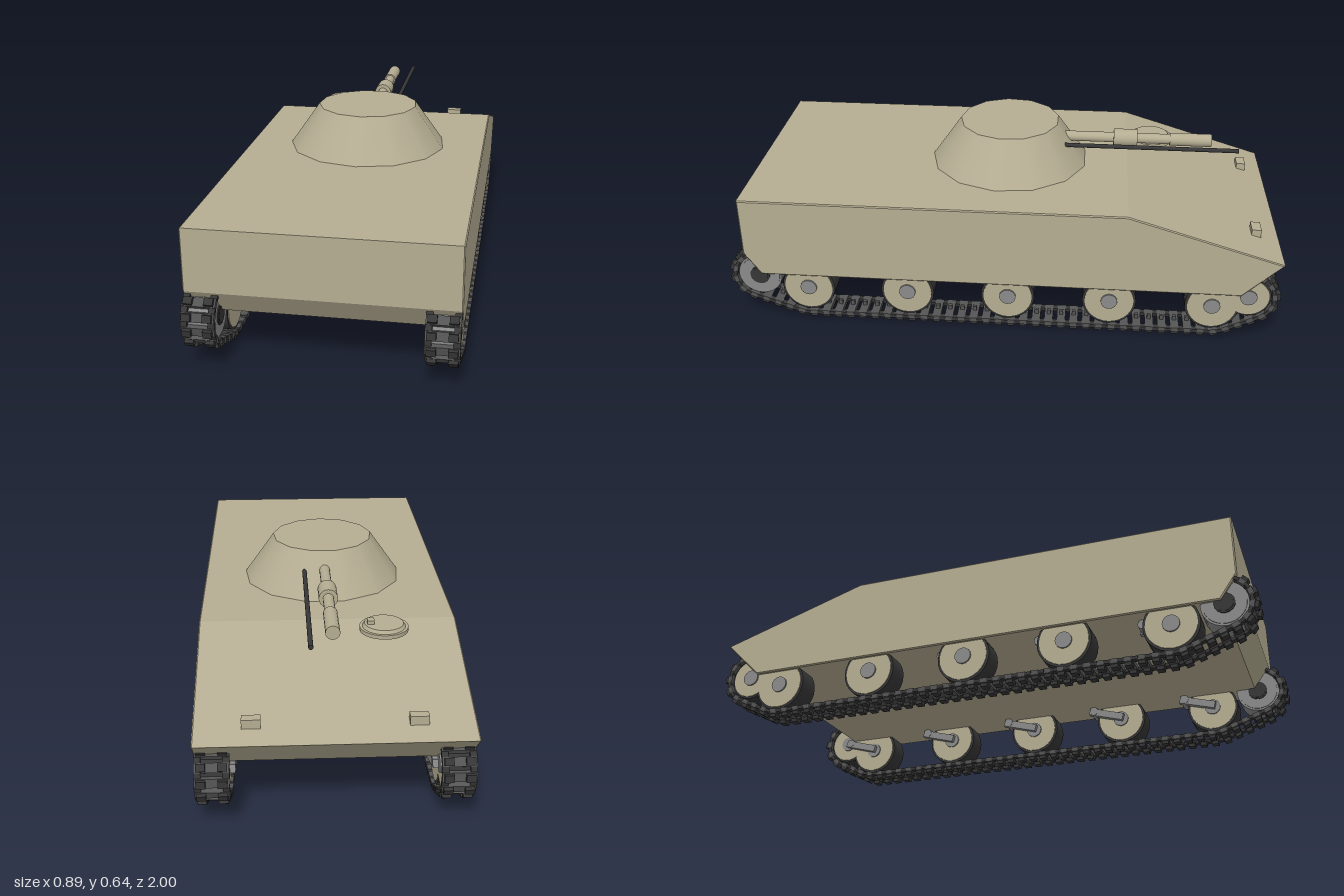
import * as THREE from 'three';
import { mergeGeometries } from 'three/addons/utils/BufferGeometryUtils.js';

const mat = (color) => new THREE.MeshStandardMaterial({ color });
const tan = mat(0xb5ad92), grey = mat(0x8a8a8a), linkGrey = mat(0x555555), dark = mat(0x363636);

function add(parent, name, geometry, material, x = 0, y = 0, z = 0) {
  const mesh = new THREE.Mesh(geometry, material);
  mesh.name = name;
  mesh.position.set(x, y, z);
  parent.add(mesh);
  return mesh;
}
const box = (w, h, d) => new THREE.BoxGeometry(w, h, d);
// Cylinders lying along x (axles) and along z (barrels)
const axle = (r, len, n = 28) => new THREE.CylinderGeometry(r, r, len, n).rotateZ(Math.PI / 2);
const barrel = (r, len) => new THREE.CylinderGeometry(r, r, len, 20).rotateX(Math.PI / 2);

const WHEEL_Y = 0.128, WHEEL_R = 0.097, TRACK_X = 0.386;
const WHEEL_Z = [0.71, 0.342, -0.026, -0.394, -0.762];
const SPROCKET = { z: 0.888, y: 0.172, r: 0.09 };
const IDLER = { z: -0.888, y: 0.172, r: 0.09 };

// Closed belt path around circles listed counter-clockwise in the z-y plane
function beltPath(circles) {
  const n = circles.length;
  const normals = circles.map((a, i) => {
    const b = circles[(i + 1) % n];
    const dz = b.z - a.z, dy = b.y - a.y;
    return Math.atan2(dy, dz) - Math.acos((a.r - b.r) / Math.hypot(dz, dy));
  });
  const path = new THREE.Path();
  circles.forEach((c, i) => path.absarc(c.z, c.y, c.r, normals[(i + n - 1) % n], normals[i], false));
  path.closePath();
  return path;
}

function makeTrack() {
  const track = new THREE.Group();
  track.name = 'track';
  const r = WHEEL_R + 0.01;
  const path = beltPath([SPROCKET, IDLER,
    { z: WHEEL_Z[4], y: WHEEL_Y, r }, { z: WHEEL_Z[0], y: WHEEL_Y, r }]);
  const count = 90;
  const points = path.getSpacedPoints(count * 2);
  const links = [], pads = [];
  for (let i = 0; i < count * 2; i++) {
    const p = points[i];
    const q = points[(i + 1) % (count * 2)], o = points[(i + count * 2 - 1) % (count * 2)];
    const angle = Math.atan2(q.y - o.y, q.x - o.x);
    // Local z follows the belt, local -y points outward
    const place = (g, x, y) => g.translate(x, y, 0).rotateX(-angle).translate(0, p.y, p.x);
    if (i % 2 === 0) {
      links.push(place(box(0.11, 0.017, 0.031), 0, 0));
      links.push(place(box(0.012, 0.022, 0.014), 0, 0.014));
      for (const s of [-1, 1]) pads.push(place(box(0.03, 0.013, 0.025), s * 0.034, -0.0145));
    } else {
      for (const s of [-1, 1]) pads.push(place(box(0.022, 0.012, 0.024), s * 0.045, 0));
    }
  }
  add(track, 'trackLinks', mergeGeometries(links), linkGrey);
  add(track, 'trackPads', mergeGeometries(pads), dark);
  return track;
}

// Road wheel with a dark tyre, tan discs and grey hub
function makeWheel(name, radius, rim, disc, hub) {
  const wheel = new THREE.Group();
  wheel.name = name;
  add(wheel, 'tyre', axle(radius, 0.086), rim);
  add(wheel, 'disc', axle(radius * 0.91, 0.092), disc);
  add(wheel, 'hub', axle(0.03, 0.104, 16), hub);
  return wheel;
}

function makeRunningGear(side) {
  const gear = new THREE.Group();
  gear.name = side > 0 ? 'leftRunningGear' : 'rightRunningGear';
  const track = makeTrack();
  track.position.x = side * TRACK_X;
  gear.add(track);
  for (const z of WHEEL_Z) {
    const wheel = makeWheel('roadWheel', WHEEL_R, dark, tan, grey);
    wheel.position.set(side * TRACK_X, WHEEL_Y, z);
    gear.add(wheel);
    // Suspension arm on the inner face
    const arm = add(gear, 'suspensionArm', box(0.022, 0.028, 0.14), grey, side * 0.327, 0.148, z - 0.055);
    arm.rotation.x = 0.28;
    add(gear, 'armPivot', axle(0.017, 0.07, 12), grey, side * 0.35, 0.166, z - 0.105);
  }
  const sprocket = makeWheel('driveSprocket', 0.08, grey, grey, dark);
  sprocket.position.set(side * TRACK_X, SPROCKET.y, SPROCKET.z);
  add(sprocket, 'sprocketHub', axle(0.036, 0.1, 16), dark);
  const idler = makeWheel('idlerWheel', 0.08, dark, tan, grey);
  idler.position.set(side * TRACK_X, IDLER.y, IDLER.z);
  gear.add(sprocket, idler);
  return gear;
}

function makeHull() {
  // Side profile in z, y
  const profile = [[0.938, 0.485], [0.938, 0.268], [0.878, 0.182], [-0.86, 0.182], [-0.998, 0.316], [-0.445, 0.485]];
  const shape = new THREE.Shape(profile.map(([z, y]) => new THREE.Vector2(z, y)));
  const bevel = 0.004, width = 0.888;
  const geometry = new THREE.ExtrudeGeometry(shape, {
    depth: width - bevel * 2, bevelEnabled: true, bevelSize: bevel, bevelThickness: bevel,
    bevelOffset: -bevel, bevelSegments: 1,
  });
  return geometry.translate(0, 0, -width / 2 + bevel).rotateY(-Math.PI / 2);
}

export function createModel() {
  const model = new THREE.Group();
  model.name = 'trackedVehicle';
  add(model, 'hull', makeHull(), tan);

  // Turret and guns
  add(model, 'turret', new THREE.CylinderGeometry(0.185, 0.295, 0.157, 13), tan, 0, 0.5615, 0);
  const gun = new THREE.Group();
  gun.name = 'mainGun';
  gun.position.y = 0.577;
  add(gun, 'barrel', barrel(0.019, 0.44), tan, 0, 0, -0.4);
  add(gun, 'barrelCollar', barrel(0.033, 0.088), tan, 0, 0, -0.435);
  add(gun, 'muzzle', barrel(0.024, 0.155), tan, 0, 0, -0.678);
  model.add(gun);
  add(model, 'secondaryGun', barrel(0.008, 0.64), dark, 0.073, 0.573, -0.53);

  // Driver's hatch
  const hatch = new THREE.Group();
  hatch.name = 'hatch';
  hatch.position.set(-0.185, 0.487, -0.54);
  add(hatch, 'hatchRim', new THREE.CylinderGeometry(0.083, 0.083, 0.014, 32), tan, 0, 0.007, 0);
  add(hatch, 'hatchLid', new THREE.CylinderGeometry(0.066, 0.074, 0.012, 32), tan, 0, 0.019, 0);
  add(hatch, 'hatchHandle', box(0.024, 0.014, 0.03), tan, 0.045, 0.031, 0);
  model.add(hatch);

  for (const side of [-1, 1]) {
    add(model, 'headlight', box(0.06, 0.032, 0.034), tan, side * 0.262, 0.352, -0.912);
    model.add(makeRunningGear(side));
  }
  return model;
}
